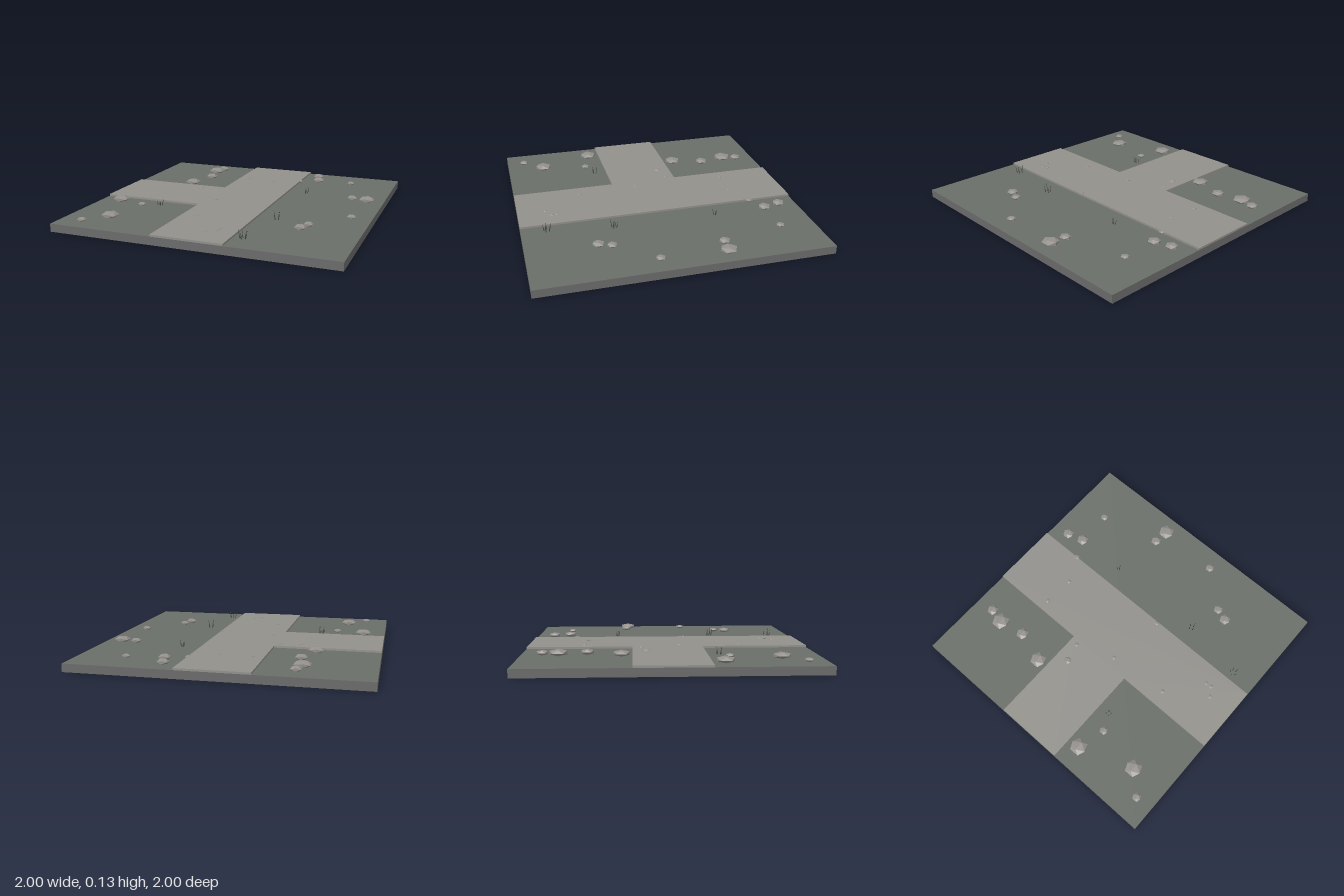
import * as THREE from 'three';

const mat = (name, color) => {
  const m = new THREE.MeshStandardMaterial({ color });
  m.name = name;
  return m;
};

export function createModel() {
  const model = new THREE.Group();
  model.name = 'pathTile';
  const ground = mat('ground grey green', 0x6a6e69);
  const slabGrey = mat('slab grey', 0x696a69);
  const pathStone = mat('path stone', 0x92908b);
  const rockGrey = mat('rock grey', 0x93908c);
  const grassDark = mat('dry grass', 0x4a4d46);
  rockGrey.flatShading = true;
  const GROUND = 0.057, PATH = 0.071;

  const add = (name, geometry, material, parent = model) => {
    const mesh = new THREE.Mesh(geometry, material);
    mesh.name = name;
    parent.add(mesh);
    return mesh;
  };

  // Square slab with a tinted top face
  add('slab', new THREE.BoxGeometry(2, GROUND, 2),
    [slabGrey, slabGrey, ground, slabGrey, slabGrey, slabGrey]).position.y = GROUND / 2;

  // Raised T-shaped path
  const outline = [[-0.25, -1], [0.25, -1], [0.25, 1], [-0.25, 1], [-0.25, 0.25], [-1, 0.25], [-1, -0.25], [-0.25, -0.25]];
  const shape = new THREE.Shape(outline.map(([x, y]) => new THREE.Vector2(x, y)));
  const pathGeometry = new THREE.ExtrudeGeometry(shape, { depth: PATH - GROUND, bevelEnabled: false });
  pathGeometry.rotateX(-Math.PI / 2);
  add('path', pathGeometry, pathStone).position.y = GROUND;

  // Flattened rocks: x, z, half width, resting height
  const rocks = new THREE.Group();
  rocks.name = 'rocks';
  model.add(rocks);
  const rockGeometry = new THREE.IcosahedronGeometry(1, 0);
  const addRock = (name, x, z, half, base, flat) => {
    const r = half / 0.85;
    const rock = add(name, rockGeometry, rockGrey, rocks);
    rock.scale.set(r, r * flat, r * 1.07);
    rock.position.set(x, base + half * flat, z);
  };
  [
    [-0.5, -0.855, 0.035], [-0.525, -0.745, 0.055], [-0.49, -0.553, 0.039], [-0.56, -0.323, 0.05],
    [-0.84, 0.337, 0.053], [-0.637, 0.393, 0.026], [-0.7, 0.727, 0.052], [-0.835, 0.872, 0.027],
    [0.358, -0.865, 0.037], [0.39, -0.743, 0.038], [0.657, -0.75, 0.025], [0.765, -0.302, 0.033],
    [0.877, -0.29, 0.05], [0.86, 0.163, 0.028], [0.63, 0.43, 0.03], [0.598, 0.517, 0.036],
    [-0.42, -0.157, 0.025], [0.25, -0.68, 0.02],
  ].forEach(([x, z, half]) => addRock('rock', x, z, half, GROUND, half > 0.045 ? 0.37 : 0.46));

  // Pebbles half sunk in the path
  [
    [-0.17, -0.597], [0.055, -0.583], [-0.287, -0.19], [-0.18, 0.087], [0.237, 0.147],
    [-0.142, 0.521], [0.117, 0.725], [0.12, 0.765], [0.055, 0.805],
  ].forEach(([x, z]) => addRock('pebble', x, z, 0.014, PATH - 0.005, 0.4));

  // Tufts of thin leaning grass blades
  const bladeGeometry = new THREE.ConeGeometry(0.004, 1, 4);
  bladeGeometry.translate(0, 0.5, 0);
  // centre x, centre z, tallest blade, blade count, spread
  [
    [0.39, -0.366, 0.06, 3, 0.009], [-0.52, 0.335, 0.055, 4, 0.015],
    [0.387, 0.366, 0.07, 4, 0.016], [0.315, 0.82, 0.065, 5, 0.02],
  ].forEach(([x, z, height, count, spread], t) => {
    const tuft = new THREE.Group();
    tuft.name = 'grassTuft';
    tuft.position.set(x, GROUND, z);
    model.add(tuft);
    for (let i = 0; i < count; i++) {
      const a = (i / count) * Math.PI * 2 + t;
      const blade = add('grassBlade', bladeGeometry, grassDark, tuft);
      blade.position.set(Math.cos(a) * spread, 0, Math.sin(a) * spread);
      blade.scale.y = height * (1 - 0.12 * (i % 3));
      blade.rotation.set(Math.sin(a) * 0.2, 0, -Math.cos(a) * 0.2);
    }
  });

  return model;
}
